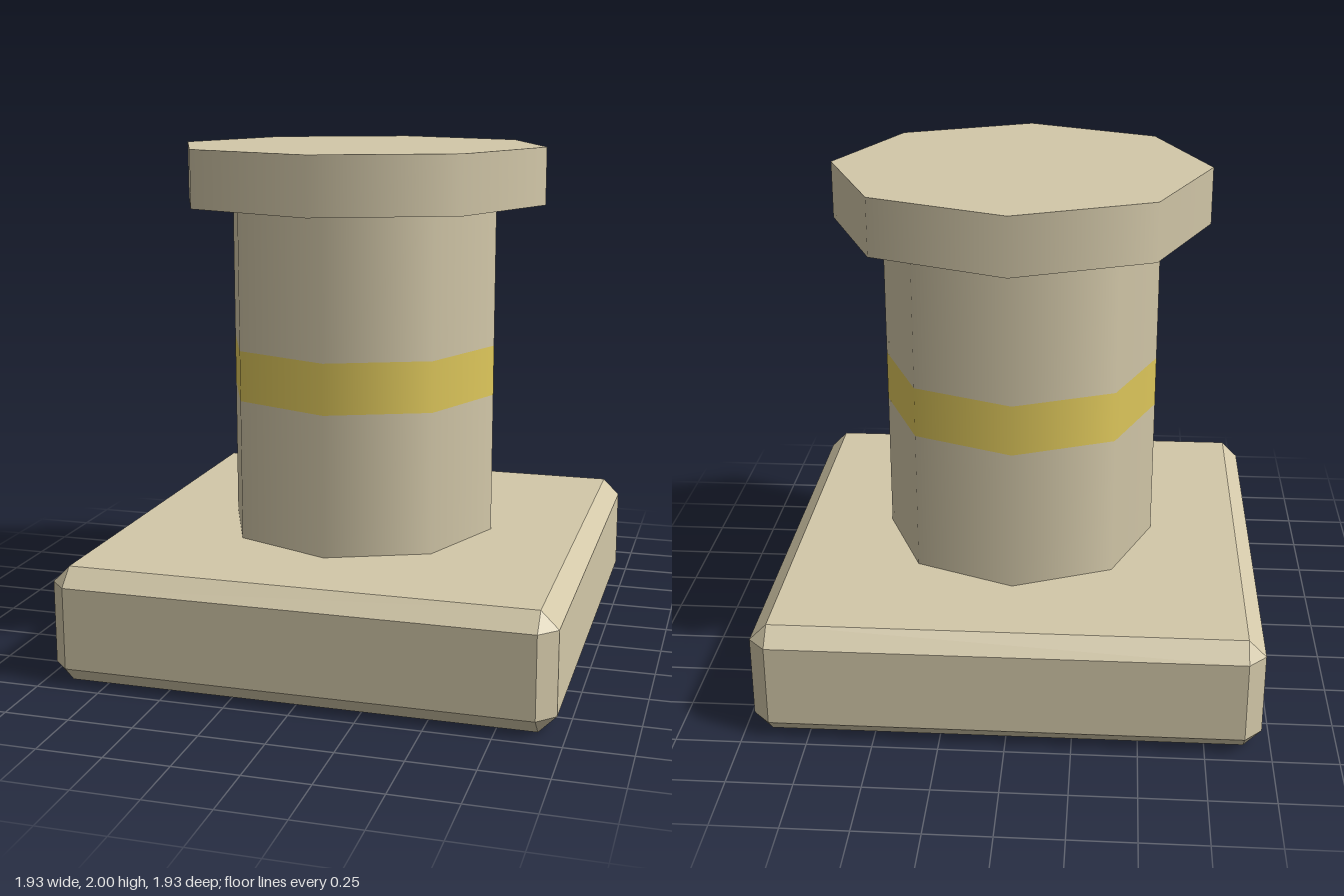
import * as THREE from 'three';
import { ConvexGeometry } from 'three/addons/geometries/ConvexGeometry.js';

const SIDES = 8;

// Box with every edge chamfered: three corner points at each of the eight corners
function chamferedBox(w, h, d, c) {
  const points = [];
  const half = [w / 2, h / 2, d / 2];
  for (const sx of [-1, 1]) for (const sy of [-1, 1]) for (const sz of [-1, 1]) {
    for (let outer = 0; outer < 3; outer++) {
      const [x, y, z] = half.map((v, i) => (i === outer ? v : v - c));
      points.push(new THREE.Vector3(sx * x, sy * y, sz * z));
    }
  }
  return new ConvexGeometry(points);
}

export function createModel() {
  const stone = new THREE.MeshStandardMaterial({ color: 0xd3c8a9 });
  stone.name = 'sandy stone';
  const yellow = new THREE.MeshStandardMaterial({ color: 0xe0c95c });
  yellow.name = 'yellow band';

  const group = new THREE.Group();
  group.name = 'bollard';

  // Octagonal section between two heights, smooth around its sides
  function section(name, radius, bottom, top, material, open) {
    const geometry = new THREE.CylinderGeometry(radius, radius, top - bottom, SIDES, 1, open);
    const mesh = new THREE.Mesh(geometry, material);
    mesh.name = name;
    mesh.position.y = (bottom + top) / 2;
    group.add(mesh);
  }

  // Square plinth
  const base = new THREE.Mesh(chamferedBox(1.93, 0.455, 1.93, 0.067), stone);
  base.name = 'base';
  base.position.y = 0.2275;
  group.add(base);

  // Column in three stacked sections, the middle one painted
  section('lowerColumn', 0.547, 0.455, 1.015, stone, true);
  section('columnBand', 0.547, 1.015, 1.215, yellow, true);
  section('upperColumn', 0.547, 1.215, 1.777, stone, true);

  // Overhanging cap
  section('cap', 0.74, 1.777, 2, stone, false);

  return group;
}
